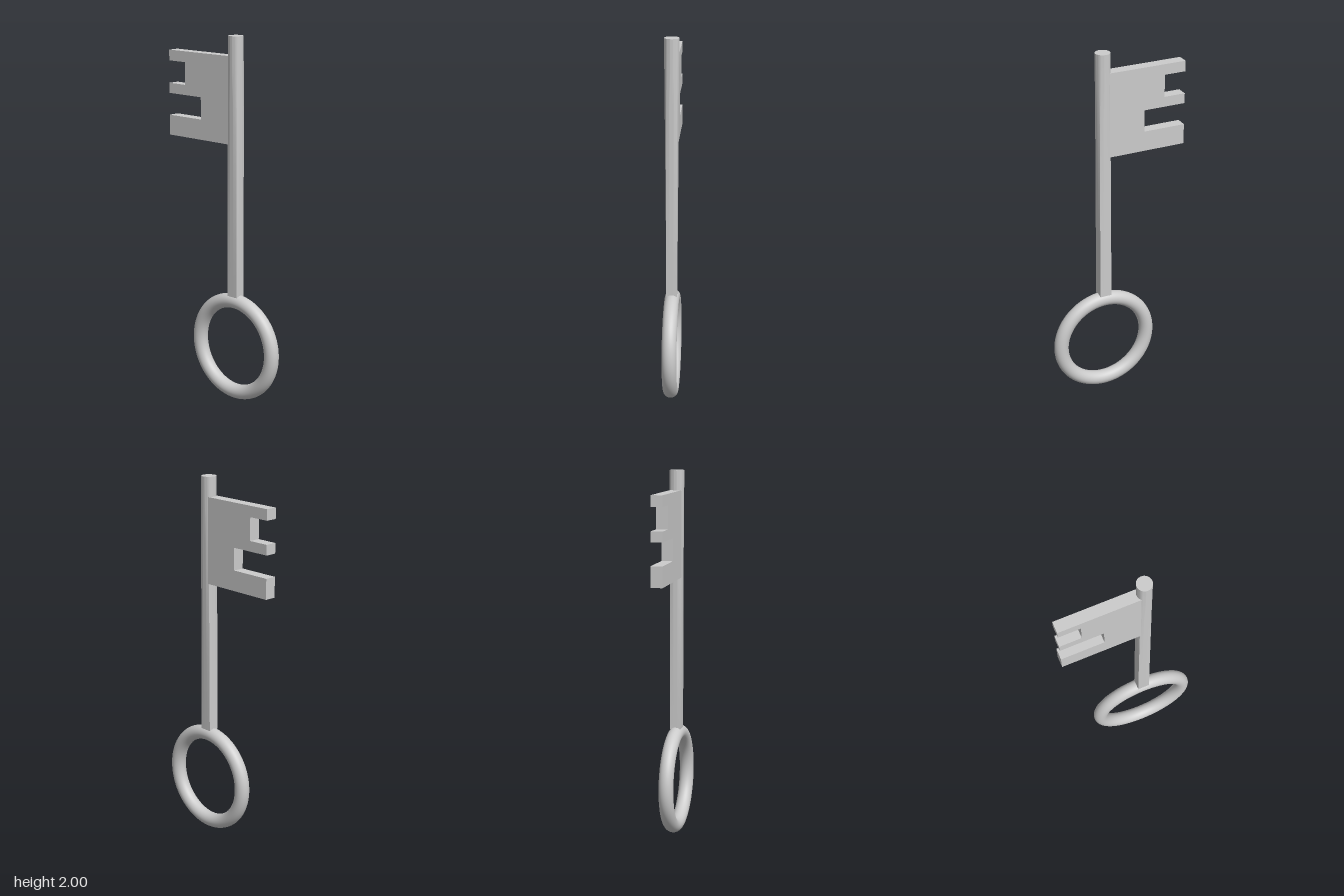
import * as THREE from 'three';
import { toCreasedNormals } from 'three/addons/utils/BufferGeometryUtils.js';

const AXIS_Z = 0.078; // the shaft and ring share this line
const material = new THREE.MeshStandardMaterial({ color: 0xcccccc });

function addPart(group, name, geometry) {
  const mesh = new THREE.Mesh(geometry, material);
  mesh.name = name;
  group.add(mesh);
  return mesh;
}

// Shaft: round at the tip, blending to a narrower squared foot on the ring
function shaftGeometry(bottom, top) {
  const height = top - bottom;
  const geometry = new THREE.CylinderGeometry(1, 1, height, 48, 8);
  const pos = geometry.attributes.position;
  for (let i = 0; i < pos.count; i++) {
    const x = pos.getX(i), z = pos.getZ(i);
    const t = pos.getY(i) / height + 0.5;
    const square = 1 / Math.max(Math.abs(x), Math.abs(z), 0.5);
    const shape = THREE.MathUtils.lerp(square, 1, t);
    pos.setX(i, x * shape * THREE.MathUtils.lerp(0.029, 0.04, t));
    pos.setZ(i, z * shape * THREE.MathUtils.lerp(0.033, 0.04, t));
  }
  return toCreasedNormals(geometry, Math.PI / 5).translate(0, (top + bottom) / 2, AXIS_Z);
}

// Bit: flat plate with two notches cut into its outer edge
function bitGeometry() {
  const outer = 0.378, inner = -0.065, thickness = 0.062;
  const outline = [
    [inner, 1.43], [outer, 1.43], [outer, 1.54], [0.145, 1.54],
    [0.145, 1.66], [outer, 1.66], [outer, 1.715], [0.26, 1.715],
    [0.26, 1.837], [outer, 1.837], [outer, 1.895], [inner, 1.895],
  ].map(([u, y]) => new THREE.Vector2(u, y));
  const geometry = new THREE.ExtrudeGeometry(new THREE.Shape(outline), {
    depth: thickness, bevelEnabled: false,
  });
  return geometry.translate(0, 0, -thickness / 2).rotateY(Math.PI / 2);
}

export function createModel() {
  const model = new THREE.Group();
  model.name = 'key';

  // Ring handle standing in the side plane
  const ring = addPart(model, 'ringHandle', new THREE.TorusGeometry(0.26, 0.04, 32, 96));
  ring.rotation.y = Math.PI / 2;
  ring.position.set(0, 0.302, AXIS_Z);

  addPart(model, 'shaft', shaftGeometry(0.592, 2));
  addPart(model, 'bit', bitGeometry());
  return model;
}
